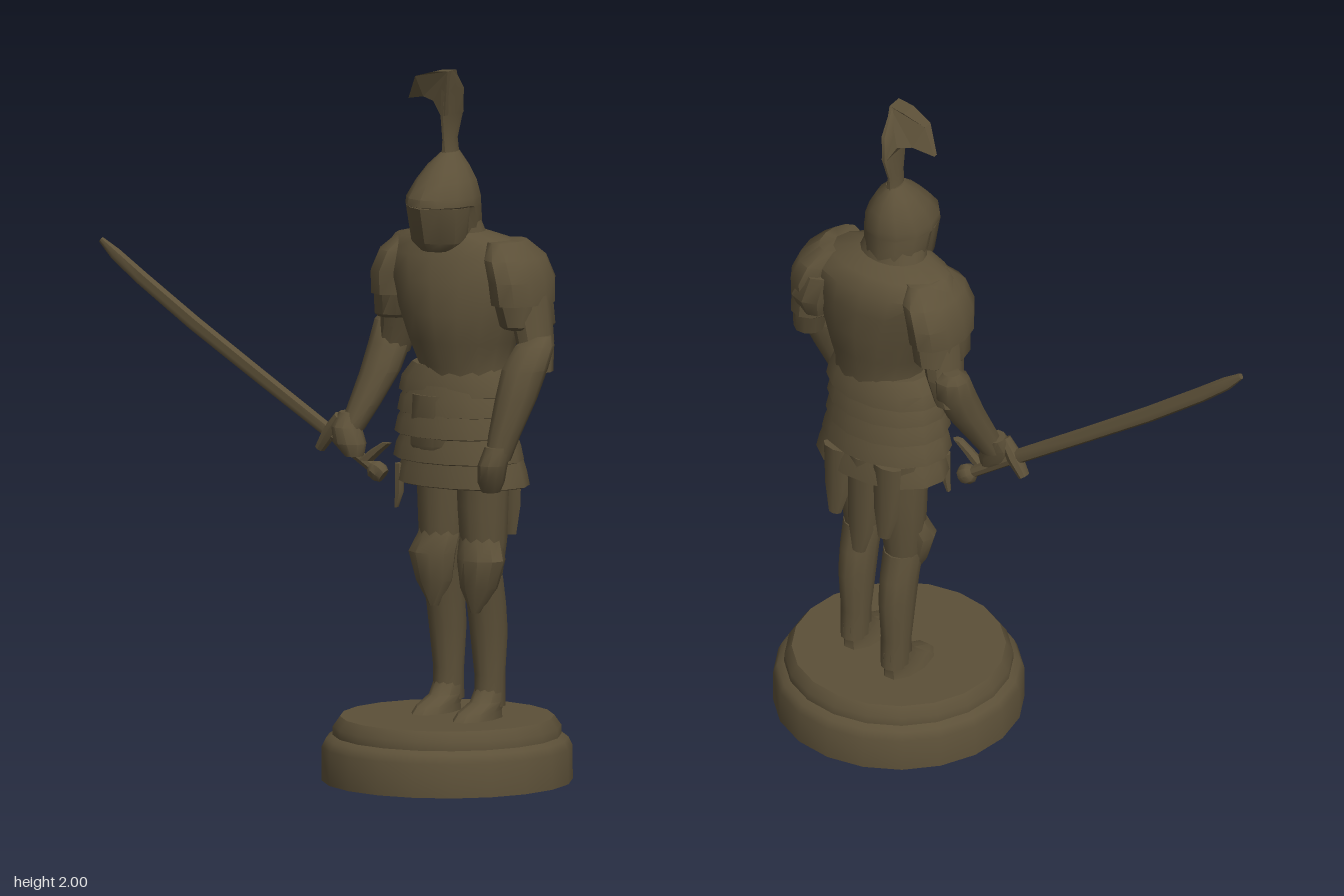
import * as THREE from 'three';
import { toCreasedNormals } from 'three/addons/utils/BufferGeometryUtils.js';

const bronze = new THREE.MeshStandardMaterial({ color: 0x5c5038 });
bronze.name = 'dark bronze';

// Closed loft through horizontal ellipses [x, y, z, rx, rz], listed bottom to top.
// "ridge" pulls the foremost vertex forward into a keel.
function loftGeometry(rings, sides = 12, ridge = 0) {
  const pos = [], idx = [];
  for (const [x, y, z, rx, rz] of rings) {
    for (let i = 0; i < sides; i++) {
      const a = (i / sides) * Math.PI * 2;
      const s = Math.sin(a);
      pos.push(x + Math.cos(a) * rx, y, z + s * rz * (s > 0.99 ? 1 + ridge : 1));
    }
  }
  for (let r = 0; r < rings.length - 1; r++) {
    for (let i = 0; i < sides; i++) {
      const a = r * sides + i, b = r * sides + (i + 1) % sides;
      idx.push(a, a + sides, b, b, a + sides, b + sides);
    }
  }
  const last = rings.length - 1;
  const bottom = pos.length / 3, top = bottom + 1;
  pos.push(...rings[0].slice(0, 3), ...rings[last].slice(0, 3));
  for (let i = 0; i < sides; i++) {
    const j = (i + 1) % sides;
    idx.push(bottom, i, j, top, last * sides + j, last * sides + i);
  }
  const g = new THREE.BufferGeometry();
  g.setAttribute('position', new THREE.Float32BufferAttribute(pos, 3));
  g.setIndex(idx);
  return toCreasedNormals(g, 0.7);
}

export function createModel() {
  const model = new THREE.Group();
  model.name = 'knightStatue';
  const add = (name, geometry, parent = model) => {
    const m = new THREE.Mesh(geometry, bronze);
    m.name = name;
    parent.add(m);
    return m;
  };
  const loft = (name, rings, sides, ridge) => add(name, loftGeometry(rings, sides, ridge));

  // Round plinth with a slightly dished underside
  const profile = [[0, 0.03], [0.2, 0.02], [0.35, 0], [0.349, 0.095], [0.338, 0.118],
    [0.319, 0.128], [0.318, 0.152], [0.298, 0.18], [0, 0.18]].map(p => new THREE.Vector2(...p));
  add('plinth', toCreasedNormals(new THREE.LatheGeometry(profile, 20), 0.75)).position.x = 0.36;

  // Legs: the left one stands slightly ahead of the right
  for (const [side, x, z, out] of [['right', 0.295, -0.055, -1], ['left', 0.468, 0, 1]]) {
    loft(side + 'Foot', [
      [x - 0.005, 0.175, z + 0.005, 0.055, 0.105], [x - 0.003, 0.2, z - 0.005, 0.048, 0.09],
      [x, 0.225, z - 0.04, 0.043, 0.06], [x, 0.26, z - 0.052, 0.04, 0.047]], 10);
    loft(side + 'Greave', [
      [x, 0.21, z - 0.052, 0.041, 0.05], [x, 0.3, z - 0.052, 0.042, 0.046],
      [x, 0.42, z - 0.047, 0.05, 0.06], [x, 0.5, z - 0.035, 0.052, 0.062], [x, 0.58, z - 0.015, 0.055, 0.062]], 12);
    loft(side + 'KneeGuard', [
      [x, 0.48, z + 0.015, 0.015, 0.02], [x + out * 0.005, 0.55, z + 0.01, 0.055, 0.048],
      [x + out * 0.012, 0.63, z + 0.01, 0.073, 0.057], [x, 0.68, z - 0.005, 0.064, 0.053],
      [x, 0.72, z - 0.01, 0.05, 0.045]], 10, 0.1);
    loft(side + 'Thigh', [
      [x, 0.56, z - 0.015, 0.052, 0.055], [x, 0.68, z - 0.02, 0.066, 0.066],
      [x - out * 0.002, 0.78, z - 0.02, 0.071, 0.072], [x, 0.9, z - 0.02, 0.073, 0.075]], 12);
  }

  // Overlapping skirt hoops, each flared at its lower edge
  const hoops = [
    [0.385, 0.83, 0.94, 0.205, 0.134, -0.042], [0.379, 0.9, 1.0, 0.196, 0.144, -0.03],
    [0.376, 0.97, 1.07, 0.187, 0.144, -0.028], [0.377, 1.03, 1.12, 0.182, 0.136, -0.03],
    [0.377, 1.085, 1.17, 0.184, 0.126, -0.036]];
  hoops.forEach(([x, y0, y1, rx, rz, z], i) => loft('skirtHoop' + (i + 1), [
    [x, y0, z, rx - 0.012, rz - 0.012], [x, y0 + 0.004, z, rx, rz],
    [x, y0 + 0.045, z, rx - 0.01, rz - 0.004], [x + 0.005, y1, z, rx - 0.038, rz - 0.02]], 14));

  // Front tasset hung over the hoops
  loft('frontTasset', [[0.365, 0.925, 0.08, 0.05, 0.02], [0.365, 0.95, 0.08, 0.075, 0.034],
    [0.36, 1.09, 0.07, 0.07, 0.03]], 10);

  // Tapering cloth tails behind the legs
  for (const [x, y, w] of [[0.3, 0.66, 0.04], [0.385, 0.58, 0.042], [0.465, 0.68, 0.04]]) {
    loft('backTail', [[x + 0.005, y, -0.152, w * 0.5, 0.014], [x, y + 0.08, -0.15, w, 0.02],
      [x, 0.9, -0.145, w * 1.2, 0.024]], 8);
  }
  loft('hipStrap', [[0.205, 0.755, 0.02, 0.005, 0.008], [0.215, 0.8, 0.02, 0.014, 0.014],
    [0.215, 0.88, 0.02, 0.014, 0.014]], 6);

  // Breastplate, back and gorget in one shell
  loft('cuirass', [
    [0.392, 1.1, -0.04, 0.15, 0.105], [0.394, 1.17, -0.036, 0.135, 0.113], [0.39, 1.24, -0.034, 0.16, 0.132],
    [0.387, 1.32, -0.034, 0.187, 0.144], [0.375, 1.41, -0.042, 0.218, 0.142], [0.363, 1.48, -0.05, 0.228, 0.13],
    [0.36, 1.522, -0.045, 0.19, 0.105], [0.36, 1.545, -0.025, 0.1, 0.078], [0.36, 1.6, -0.01, 0.08, 0.08]], 16, 0.03);

  // Helmet: convex dome meeting a keeled visor
  loft('helmetDome', [
    [0.36, 1.5, -0.012, 0.08, 0.09], [0.36, 1.56, -0.008, 0.092, 0.094], [0.36, 1.618, 0.008, 0.098, 0.108],
    [0.36, 1.624, 0.019, 0.1, 0.12], [0.36, 1.645, 0.018, 0.099, 0.118], [0.36, 1.69, 0.004, 0.08, 0.096],
    [0.36, 1.73, -0.006, 0.055, 0.066], [0.36, 1.765, -0.018, 0.022, 0.034]], 12);
  loft('visor', [
    [0.36, 1.495, 0.035, 0.055, 0.055], [0.36, 1.52, 0.035, 0.083, 0.072],
    [0.36, 1.62, 0.035, 0.096, 0.094]], 12, 0.1);

  // Plume: flat stem and a curled tip narrowing to a point
  loft('plumeStem', [
    [0.36, 1.74, -0.018, 0.022, 0.035], [0.358, 1.8, -0.018, 0.01, 0.036], [0.36, 1.87, -0.024, 0.013, 0.054],
    [0.372, 1.94, -0.01, 0.017, 0.052], [0.388, 1.998, 0.025, 0.007, 0.022]], 10);
  const flap = new THREE.Shape([[0.395, 2], [0.345, 1.995], [0.275, 1.975], [0.23, 1.905], [0.295, 1.918],
    [0.335, 1.91], [0.355, 1.87], [0.37, 1.87]].reverse().map(p => new THREE.Vector2(...p)));
  const flapGeometry = new THREE.ExtrudeGeometry(flap, { depth: 1, bevelEnabled: false });
  const fp = flapGeometry.attributes.position;
  for (let i = 0; i < fp.count; i++) {
    const t = (fp.getY(i) - 1.87) / 0.13;
    const taper = Math.min(1, 0.15 + (fp.getX(i) - 0.23) / 0.13);
    const middle = -0.022 + t * 0.05, half = (0.048 - t * 0.025) * taper;
    fp.setZ(i, middle + (fp.getZ(i) * 2 - 1) * half);
  }
  flapGeometry.computeVertexNormals();
  add('plumeTip', flapGeometry);

  // Shoulder plates: a broad cap over a flared lame
  for (const [side, c, out, z] of [['right', 0.185, -1, -0.055], ['left', 0.575, 1, -0.045]]) {
    loft(side + 'ShoulderCap', [
      [c + out * 0.008, 1.355, z, 0.078, 0.118], [c + out * 0.004, 1.42, z, 0.077, 0.128],
      [c - out * 0.018, 1.48, z, 0.072, 0.118], [c - out * 0.045, 1.525, z, 0.045, 0.075]], 12);
    loft(side + 'ShoulderLame', [
      [c + out * 0.018, 1.285, z - 0.01, 0.062, 0.085], [c + out * 0.016, 1.295, z - 0.01, 0.07, 0.1],
      [c + out * 0.004, 1.39, z, 0.072, 0.114]], 12);
  }
  loft('leftRearPlate', [[0.565, 1.31, -0.12, 0.04, 0.03], [0.565, 1.37, -0.13, 0.06, 0.05],
    [0.545, 1.45, -0.115, 0.05, 0.05]], 8);

  // Left arm hanging forward
  loft('leftUpperArm', [[0.645, 1.17, -0.02, 0.045, 0.05], [0.63, 1.25, -0.035, 0.05, 0.06],
    [0.6, 1.38, -0.045, 0.06, 0.07]], 10);
  loft('leftForearm', [
    [0.598, 0.93, 0.105, 0.034, 0.04], [0.607, 1, 0.085, 0.044, 0.048], [0.624, 1.1, 0.052, 0.058, 0.06],
    [0.635, 1.18, 0.025, 0.064, 0.064], [0.65, 1.245, -0.005, 0.055, 0.052], [0.662, 1.27, -0.02, 0.028, 0.025]], 10);
  loft('leftHand', [
    [0.575, 0.84, 0.105, 0.025, 0.028], [0.58, 0.87, 0.112, 0.037, 0.04], [0.592, 0.92, 0.122, 0.04, 0.045],
    [0.6, 0.97, 0.105, 0.036, 0.042]], 10);

  // Right arm reaching down to the sword grip
  loft('rightUpperArm', [[0.115, 1.17, -0.1, 0.045, 0.05], [0.14, 1.25, -0.095, 0.05, 0.06],
    [0.17, 1.38, -0.07, 0.06, 0.07]], 10);
  loft('rightForearm', [
    [0.055, 0.96, 0.02, 0.034, 0.04], [0.075, 1.03, -0.015, 0.045, 0.048], [0.098, 1.12, -0.06, 0.056, 0.058],
    [0.108, 1.2, -0.095, 0.06, 0.06], [0.105, 1.26, -0.112, 0.05, 0.05], [0.1, 1.285, -0.12, 0.025, 0.025]], 10);
  loft('rightHand', [
    [0.075, 0.89, 0.035, 0.025, 0.03], [0.06, 0.925, 0.035, 0.048, 0.042], [0.045, 0.97, 0.03, 0.042, 0.042],
    [0.045, 1.01, 0.01, 0.03, 0.035]], 10);

  // Sword, built upright along its own y axis then tilted into the hand
  const sword = new THREE.Group();
  sword.name = 'sword';
  sword.position.set(-0.01, 0.95, 0.03);
  const direction = new THREE.Vector3(-0.695, 0.49, 0.105);
  const length = direction.length();
  sword.quaternion.setFromUnitVectors(new THREE.Vector3(0, 1, 0), direction.normalize());
  model.add(sword);
  add('blade', loftGeometry([
    [0, -0.02, 0, 0.021, 0.017], [-0.006, 0.25, 0, 0.022, 0.018], [-0.01, 0.5, 0, 0.023, 0.018],
    [-0.006, 0.7, 0, 0.022, 0.017], [0, 0.8, 0, 0.019, 0.015], [0.006, length, 0, 0.009, 0.008]], 8), sword);
  add('grip', loftGeometry([[0, -0.19, 0, 0.016, 0.016], [0, 0, 0, 0.018, 0.018]], 8), sword);
  add('pommel', loftGeometry([[0, -0.2, 0, 0.022, 0.02], [0, -0.185, 0, 0.03, 0.026],
    [0, -0.165, 0, 0.028, 0.026], [0, -0.15, 0, 0.014, 0.014]], 8), sword);
  const guard = add('crossguard', loftGeometry([[0, -0.06, 0, 0.015, 0.018], [0, 0, 0, 0.022, 0.025],
    [0, 0.06, 0, 0.015, 0.018]], 8), sword);
  guard.rotation.z = Math.PI / 2;
  loft('swordKnot', [[0.11, 0.88, 0.03, 0.025, 0.016], [0.145, 0.91, 0.03, 0.022, 0.014],
    [0.18, 0.935, 0.03, 0.016, 0.012]], 6);

  return model;
}
